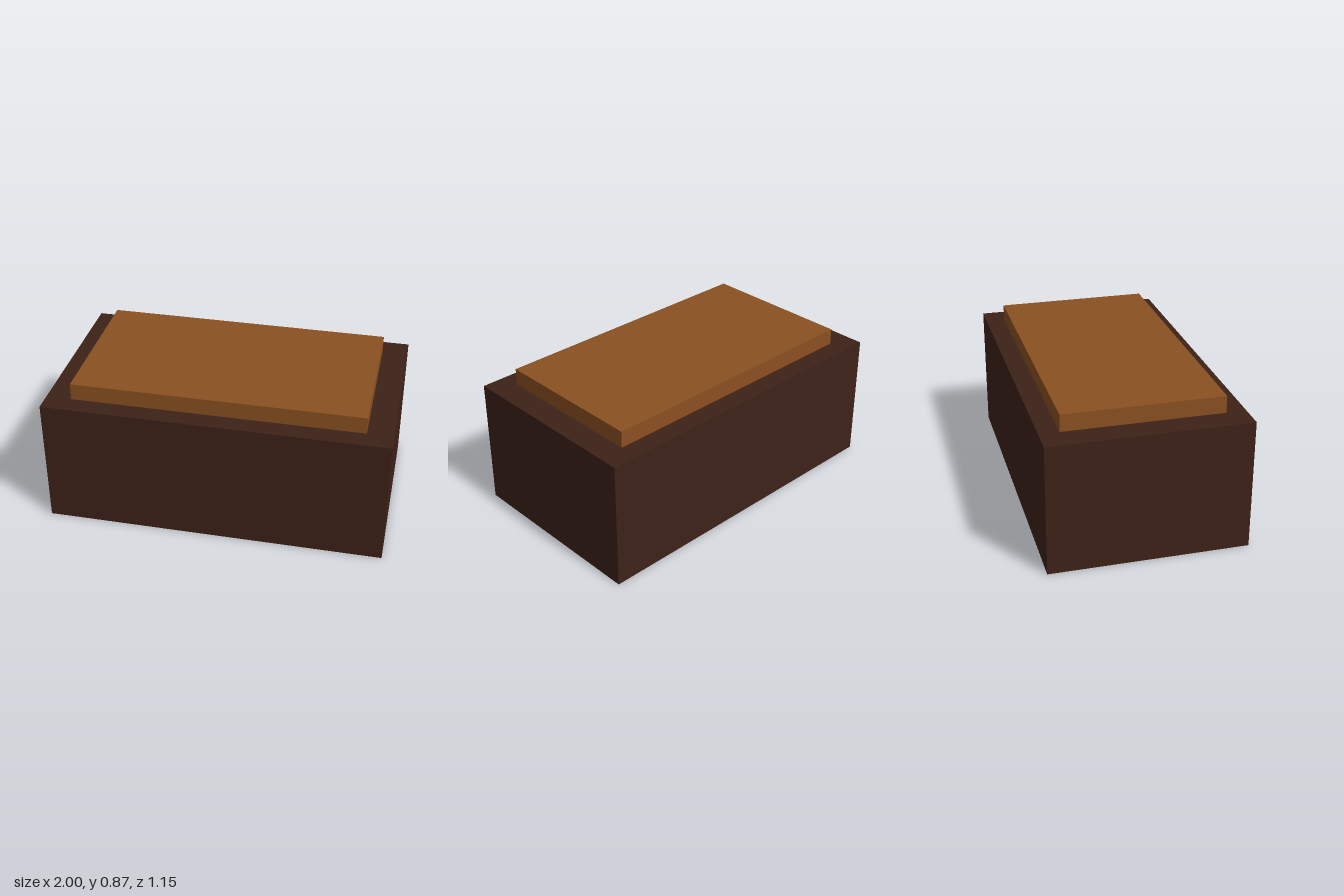
import * as THREE from 'three';

// Box resting on height y, centred on x and z
function block(name, width, height, depth, y, color) {
  const mesh = new THREE.Mesh(
    new THREE.BoxGeometry(width, height, depth),
    new THREE.MeshStandardMaterial({ color })
  );
  mesh.name = name;
  mesh.position.y = y + height / 2;
  return mesh;
}

export function createModel() {
  const model = new THREE.Group();
  model.name = 'box';
  const bodyHeight = 0.77;

  // Dark body with a narrower, lighter lid on top
  model.add(block('body', 2, bodyHeight, 1.154, 0, 0x3d2218));
  model.add(block('lid', 1.7, 0.1, 0.923, bodyHeight, 0x8a5020));
  return model;
}
